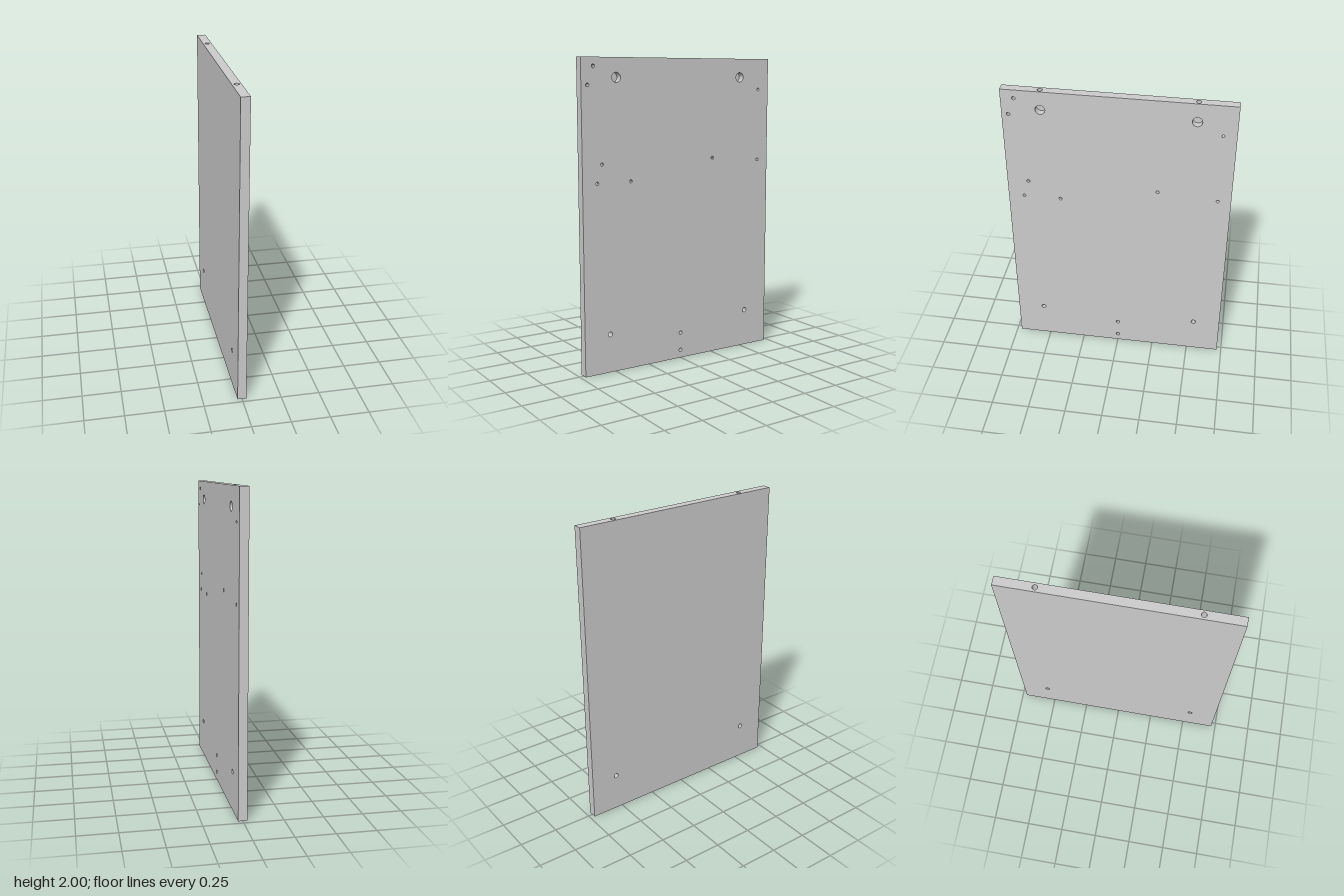
import * as THREE from 'three';
import { toCreasedNormals } from 'three/addons/utils/BufferGeometryUtils.js';

const HX = 0.0285, HZ = 0.72, H = 2;               // half thickness, half depth, height
const PILOT_DEPTH = 0.036;
const CAM = { y: 1.877, r: 0.031, floor: -0.0175 }; // large pockets near the top
const BOLT_R = 0.016;                               // channels drilled down from the top edge
const camZ = [0.477, -0.477];

// [z, y, radius]
const pilots = [
  [0.636, 1.945, 0.0115], [0.677, 1.832, 0.0115], [-0.636, 1.795, 0.01],
  [0.583, 1.344, 0.0105], [-0.254, 1.344, 0.0105], [-0.636, 1.314, 0.01],
  [0.617, 1.227, 0.0105], [0.377, 1.227, 0.0105], [0, 0.173, 0.0125], [0, 0.053, 0.0125],
];
const throughs = [[0.539, 0.252, 0.016], [-0.539, 0.252, 0.016]];

export function createModel() {
  const group = new THREE.Group();
  const mat = new THREE.MeshStandardMaterial({ color: 0xcccccc });
  const add = (name, geo, x = 0, y = 0, z = 0) => {
    const mesh = new THREE.Mesh(geo, mat);
    mesh.name = name;
    mesh.position.set(x, y, z);
    group.add(mesh);
  };

  // Flat rectangle with round holes [u, v, radius]
  const face = (u0, v0, u1, v1, holes) => {
    const s = new THREE.Shape([[u0, v0], [u1, v0], [u1, v1], [u0, v1]].map(p => new THREE.Vector2(...p)));
    for (const [u, v, r] of holes) s.holes.push(new THREE.Path().absarc(u, v, r, 0, Math.PI * 2, true));
    return new THREE.ShapeGeometry(s, 16);
  };

  // Surface between two rows of points
  const strip = (rowA, rowB) => {
    const pos = [], idx = [];
    rowA.forEach((p, i) => {
      pos.push(...p, ...rowB[i]);
      const a = 2 * i;
      if (i) idx.push(a - 2, a - 1, a, a - 1, a + 1, a);
    });
    const g = new THREE.BufferGeometry();
    g.setAttribute('position', new THREE.Float32BufferAttribute(pos, 3));
    g.setIndex(idx);
    g.computeVertexNormals();
    return g;
  };

  // Inner wall of a drilled hole opening toward +x, with an optional floor
  const bore = (r, depth, floor) => {
    const pts = [new THREE.Vector2(r, 0), new THREE.Vector2(r, -depth)];
    if (floor) pts.push(new THREE.Vector2(0, -depth));
    return toCreasedNormals(new THREE.LatheGeometry(pts, 32).rotateZ(-Math.PI / 2), 0.6);
  };

  // Panel faces and edges
  const cams = camZ.map(z => [z, CAM.y, CAM.r]);
  const openings = [...pilots, ...throughs, ...cams].map(([z, y, r]) => [-z, y, r]);
  add('drilledFace', face(-HZ, 0, HZ, H, openings).rotateY(Math.PI / 2), HX);
  add('plainFace', face(-HZ, 0, HZ, H, throughs).rotateY(-Math.PI / 2), -HX);
  add('topEdge', face(-HX, -HZ, HX, HZ, camZ.map(z => [0, -z, BOLT_R])).rotateX(-Math.PI / 2), 0, H);
  add('bottomEdge', face(-HX, -HZ, HX, HZ, []).rotateX(Math.PI / 2));
  add('frontEdge', face(-HX, 0, HX, H, []), 0, 0, HZ);
  add('backEdge', face(-HX, 0, HX, H, []).rotateY(Math.PI), 0, 0, -HZ);

  // Small blind holes and through holes
  for (const [z, y, r] of pilots) add('pilotHole', bore(r, PILOT_DEPTH, true), HX, y, z);
  for (const [z, y, r] of throughs) add('throughHole', bore(r, 2 * HX, false), HX, y, z);

  // Angles around a large pocket, from its top; h is half the width of the channel mouth
  const ring = [];
  for (let i = 0; i <= 16; i++) {
    const a = (i / 16 - 0.5) * Math.PI;
    ring.push({ t: Math.asin(BOLT_R * Math.sin(a) / CAM.r), h: Math.max(0, BOLT_R * Math.cos(a)) });
  }
  const t0 = ring[16].t;
  for (let i = 1; i <= 32; i++) ring.push({ t: t0 + (i / 32) * 2 * (Math.PI - t0), h: 0 });
  const wallRow = xAt => ring.map(({ t, h }) => [xAt(h), CAM.r * Math.cos(t), CAM.r * Math.sin(t)]);

  // Channel ring, ending on the curved pocket wall
  const channelRow = yAt => Array.from({ length: 33 }, (_, i) => {
    const a = (i / 32) * Math.PI * 2, z = BOLT_R * Math.sin(a);
    return [BOLT_R * Math.cos(a), yAt(z), z];
  });

  for (const z of camZ) {
    add('camPocketInnerWall', strip(wallRow(() => CAM.floor), wallRow(h => -h)), 0, CAM.y, z);
    add('camPocketOuterWall', strip(wallRow(h => h), wallRow(() => HX)), 0, CAM.y, z);
    add('camPocketFloor', new THREE.CircleGeometry(CAM.r, 40).rotateY(Math.PI / 2), CAM.floor, CAM.y, z);
    add('boltChannel', strip(channelRow(() => H - CAM.y),
      channelRow(dz => Math.sqrt(CAM.r ** 2 - dz ** 2))), 0, CAM.y, z);
  }
  return group;
}
